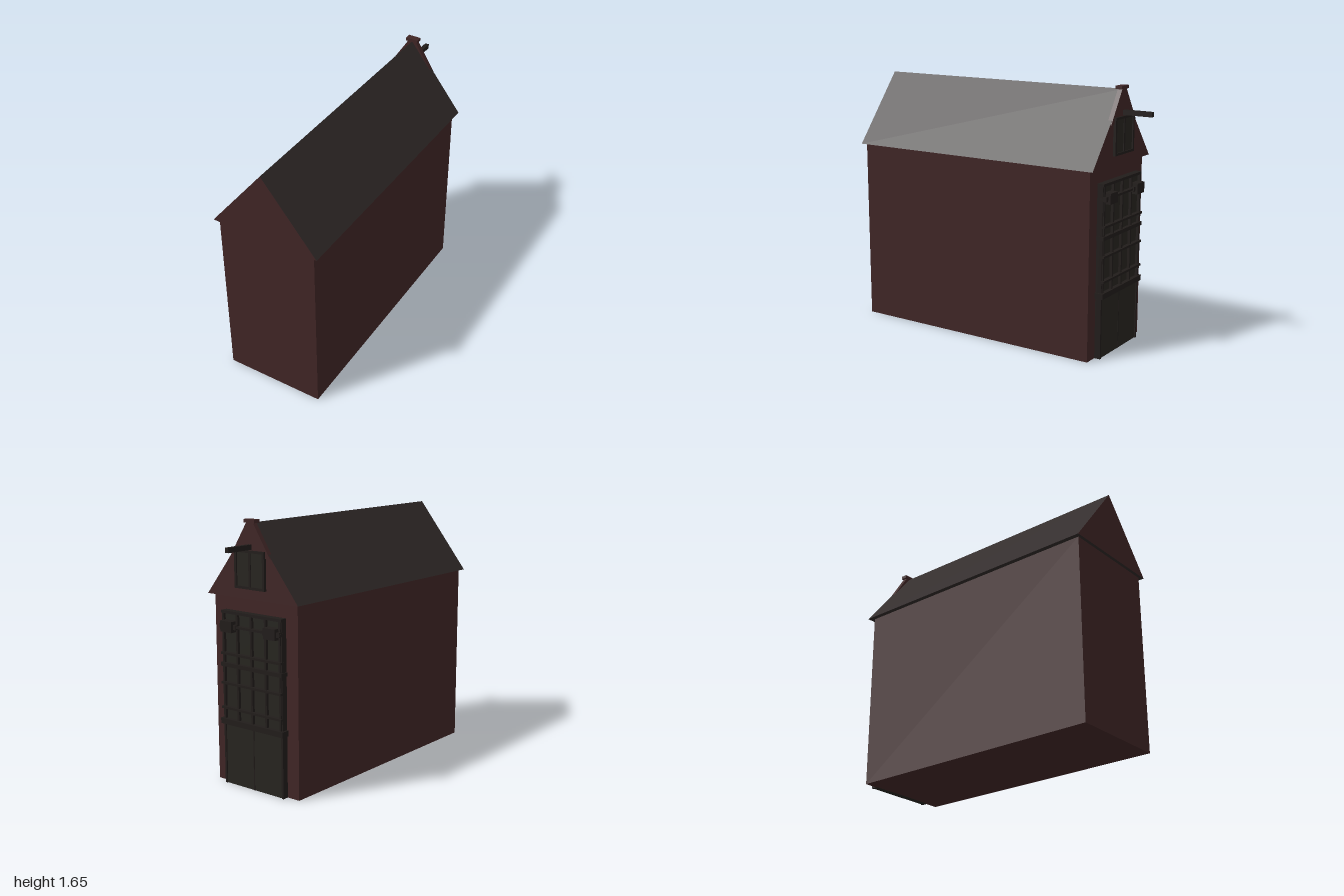
import * as THREE from 'three';

const mat = (name, color) => {
  const m = new THREE.MeshStandardMaterial({ color });
  m.name = name;
  return m;
};

export function createModel() {
  const brick = mat('dark red brick', 0x3f2525);
  const tile = mat('roof tile', 0x2f2827);
  const panel = mat('dark green panel', 0x26241f);
  const trim = mat('dark trim', 0x211c1a);

  const root = new THREE.Group();
  root.name = 'warehouse';
  const house = new THREE.Group();
  house.name = 'house';
  house.position.set(-0.005, 0, 0.0625);
  house.rotation.y = 0.185; // the house stands at a slight turn
  root.add(house);

  const add = (name, geo, material) => {
    const mesh = new THREE.Mesh(geo, material);
    mesh.name = name;
    house.add(mesh);
    return mesh;
  };
  // Box given by its limits on each axis
  const box = (name, x0, x1, y0, y1, z0, z1, material) => {
    const g = new THREE.BoxGeometry(x1 - x0, y1 - y0, z1 - z0);
    g.translate((x0 + x1) / 2, (y0 + y1) / 2, (z0 + z1) / 2);
    return add(name, g, material);
  };
  // Outline in x and y, extruded from z0 to z1
  const prism = (name, pts, z0, z1, material) => {
    const shape = new THREE.Shape(pts.map(([x, y]) => new THREE.Vector2(x, y)));
    const g = new THREE.ExtrudeGeometry(shape, { depth: z1 - z0, bevelEnabled: false });
    g.translate(0, 0, z0);
    return add(name, g, material);
  };

  const wallZ = -0.85, gableZ = -0.8825;

  // Walls and roof: brick gable ends, tiled slopes
  box('walls', -0.328, 0.328, 0, 1.18, wallZ, 0.863, brick);
  prism('roof', [[-0.358, 1.18], [0.358, 1.18], [0, 1.63]], gableZ, 0.8825, [brick, tile]);

  // Raised gable top with cap stone
  prism('gableTop', [[-0.155, 1.43], [0.155, 1.43], [0.026, 1.632], [-0.026, 1.632]], -0.888, -0.858, brick);
  box('gableCap', -0.042, 0.042, 1.63, 1.65, -0.894, -0.85, brick);

  // Hoist beam
  box('hoistBeam', -0.013, 0.013, 1.475, 1.505, -1.08, -0.86, trim);

  // Loft hatch
  for (const s of [-1, 1]) {
    const a = s * 0.055;
    box('hatchLeaf', a - 0.047, a + 0.047, 1.25, 1.46, -0.892, gableZ + 0.005, panel);
    const b = s * 0.11;
    box('hatchPost', b - 0.008, b + 0.008, 1.24, 1.47, -0.9, gableZ + 0.005, trim);
  }
  box('hatchMullion', -0.008, 0.008, 1.25, 1.46, -0.897, gableZ + 0.005, trim);
  box('hatchHead', -0.118, 0.118, 1.455, 1.47, -0.9, gableZ + 0.005, trim);
  box('hatchSill', -0.118, 0.118, 1.24, 1.255, -0.9, gableZ + 0.005, trim);

  // Double door
  for (const s of [-1, 1]) {
    const a = s * 0.115;
    box('doorLeaf', a - 0.112, a + 0.112, 0, 0.4, -0.882, wallZ + 0.01, panel);
    const b = s * 0.232;
    box('doorPost', b - 0.007, b + 0.007, 0, 1.09, -0.889, wallZ + 0.01, trim);
  }
  box('doorGap', -0.004, 0.004, 0, 0.4, -0.884, wallZ + 0.01, trim);

  // Two tiers of windows with mullions and cross bars
  for (const [y0, y1, bars] of [[0.42, 0.75, [0.49, 0.645]], [0.77, 1.08, [0.83, 1.0]]]) {
    box('windowPanel', -0.226, 0.226, y0, y1, -0.878, wallZ + 0.01, panel);
    for (const x of [-0.225, -0.113, 0, 0.113, 0.225])
      box('mullion', x - 0.007, x + 0.007, y0, y1, -0.895, wallZ + 0.01, trim);
    for (const y of bars)
      box('crossBar', -0.24, 0.24, y - 0.007, y + 0.007, -0.905, -0.87, trim);
  }

  // Ledges between the tiers
  box('doorLedge', -0.25, 0.25, 0.385, 0.42, -0.905, wallZ + 0.01, trim);
  box('middleLedge', -0.245, 0.245, 0.748, 0.772, -0.902, wallZ + 0.01, trim);
  box('topRail', -0.239, 0.239, 1.075, 1.092, -0.895, wallZ + 0.01, trim);

  // Stepped lantern boxes at both upper corners
  for (const s of [-1, 1]) {
    const a = s * 0.172;
    box('lanternBack', a - 0.065, a + 0.065, 0.985, 1.015, -0.912, -0.87, trim);
    box('lantern', a - 0.045, a + 0.045, 0.968, 1.035, -0.928, -0.87, trim);
  }
  return root;
}
